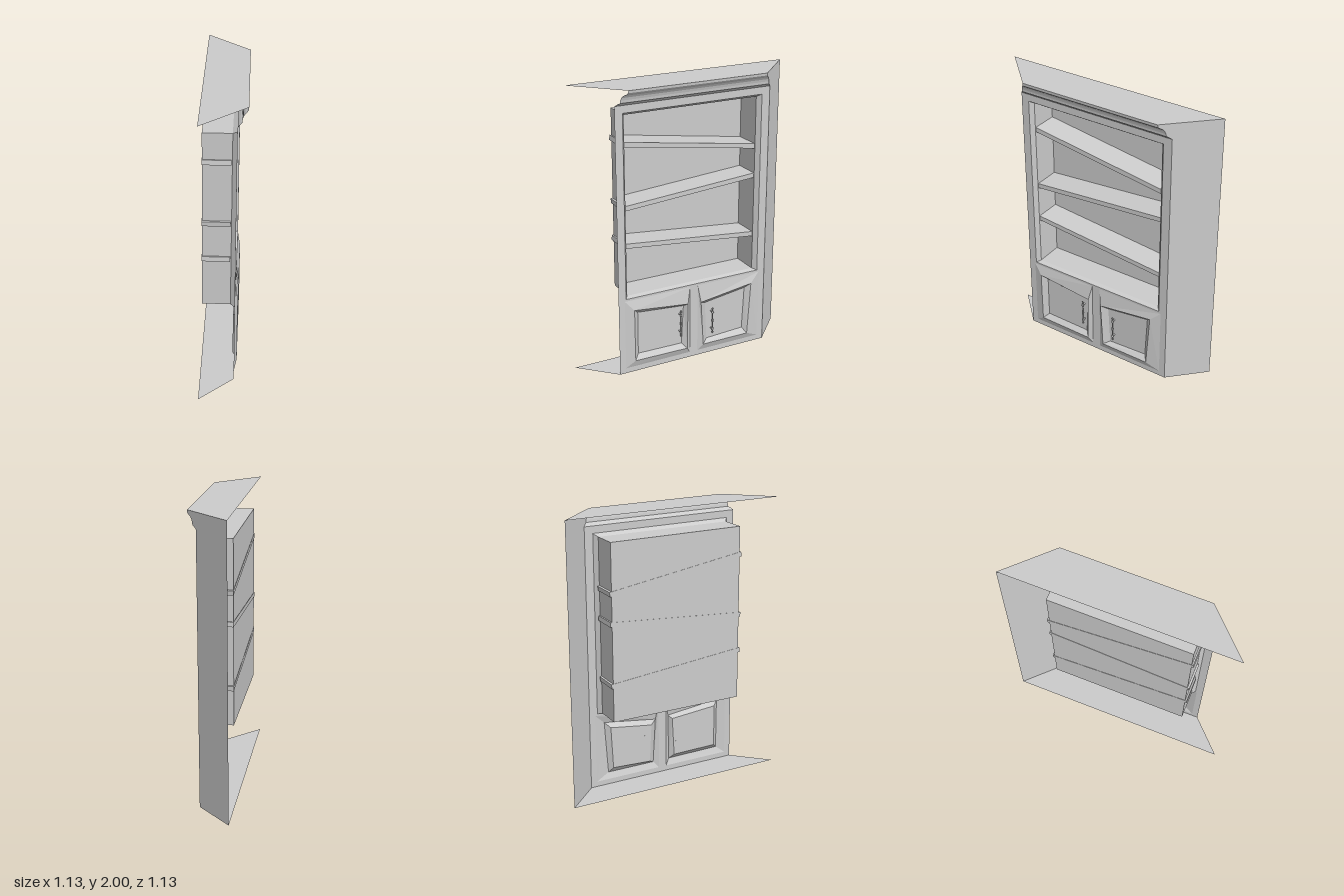
import * as THREE from 'three';

const DEPTH = 0.23;      // front plane of the body
const BACK = 0.8;        // half width of the open back; the sides run in at 45 degrees
const BASE = 0.0075, TOP = 1.9925;

// Slight crooked lean, then the turn that sets the cabinet into its corner
const PLACE = new THREE.Matrix4().makeRotationY(Math.PI * 0.75).multiply(
  new THREE.Matrix4().set(1, 0, 0, 0, -0.009, 1, 0, 0, 0, 0, 1, 0, 0, 0, 0, 1));

const material = new THREE.MeshStandardMaterial({ color: 0xcccccc, side: THREE.DoubleSide });

function add(parent, name, geometry) {
  geometry.applyMatrix4(PLACE);
  const mesh = new THREE.Mesh(geometry, material);
  mesh.name = name;
  parent.add(mesh);
  return mesh;
}

// Flat-faced skin between successive rows of points; closed rows join up,
// and cap fills the last four-cornered row
function loft(rows, closed, cap) {
  const p = [];
  const quad = (a, b, c, d) => [a, b, c, a, c, d].forEach(v => p.push(...v));
  for (let i = 0; i + 1 < rows.length; i++) {
    const n = rows[i].length;
    for (let j = 0; j < (closed ? n : n - 1); j++) {
      const k = (j + 1) % n;
      quad(rows[i][j], rows[i][k], rows[i + 1][k], rows[i + 1][j]);
    }
  }
  if (cap) quad(...rows[rows.length - 1]);
  const g = new THREE.BufferGeometry();
  g.setAttribute('position', new THREE.Float32BufferAttribute(p, 3));
  g.computeVertexNormals();
  return g;
}

const rect = (x0, x1, y0, y1) => [[x0, y0], [x1, y0], [x1, y1], [x0, y1]];
const atZ = (pts, z) => pts.map(([x, y]) => [x, y, z]);
const toVec = pts => pts.map(([x, y]) => new THREE.Vector2(x, y));

export function createModel() {
  const model = new THREE.Group();
  model.name = 'cornerCabinet';

  // Cornice profile: [z, y]
  const profile = [[DEPTH, 1.885], [0.245, 1.9], [0.256, 1.907], [0.258, 1.925],
    [0.263, 1.942], [0.273, 1.957], [0.286, 1.966], [0.294, 1.976], [0.296, TOP]];

  // Front face with openings for the shelf recess and the two door surrounds
  const opening = rect(-0.515, 0.51, 0.56, 1.835);
  const surrounds = [rect(-0.525, -0.03, 0.045, 0.545), rect(0.03, 0.525, 0.045, 0.545)];
  const half = BACK - DEPTH;
  const face = new THREE.Shape(toVec(rect(-half, half, BASE, 1.885)));
  [opening, ...surrounds].forEach(h => face.holes.push(new THREE.Path(toVec(h))));
  add(model, 'frontFace', new THREE.ShapeGeometry(face).translate(0, 0, DEPTH));

  // Cornice
  add(model, 'cornice', loft(profile.map(([z, y]) => [[z - BACK, y, z], [BACK - z, y, z]]), false));

  // Top and bottom plates
  const plate = (z, y) => [[[-BACK, y, 0], [BACK, y, 0]], [[z - BACK, y, z], [BACK - z, y, z]]];
  add(model, 'topPlate', loft(plate(0.296, TOP), false));
  add(model, 'bottomPlate', loft(plate(DEPTH, BASE), false));

  // The one side wall, following the cornice outline
  const wallRows = [[DEPTH, BASE], ...profile].map(([z, y]) => [[BACK, y, 0], [BACK - z, y, z]]);
  add(model, 'sideWall', loft(wallRows, false));

  // Shelf recess: bevelled rim, then a box with a back wall
  const inner = rect(-0.493, 0.485, 0.57, 1.815);
  add(model, 'shelfRecess',
    loft([atZ(opening, DEPTH), atZ(inner, 0.2), atZ(inner, 0.011)], true, true));

  // Crooked shelves: centre height at each end
  [[1.62, 1.468], [1.185, 1.262], [0.925, 0.828]].forEach(([yl, yr]) => {
    const g = new THREE.BoxGeometry(Math.hypot(1.004, yr - yl), 0.033, 0.186);
    g.rotateZ(Math.atan2(yr - yl, 1.004)).translate(-0.004, (yl + yr) / 2, 0.102);
    add(model, 'shelf', g);
  });

  // Doors: raised surround falling back to a sunken, crooked panel
  const doors = [
    { name: 'leftDoor',
      edge: [[-0.46, 0.095], [-0.06, 0.09], [-0.055, 0.43], [-0.463, 0.475]],
      panel: [[-0.425, 0.13], [-0.09, 0.125], [-0.075, 0.41], [-0.425, 0.44]],
      handle: [-0.107, 0.29] },
    { name: 'rightDoor',
      edge: [[0.068, 0.09], [0.427, 0.09], [0.452, 0.476], [0.048, 0.42]],
      panel: [[0.11, 0.115], [0.4, 0.13], [0.415, 0.44], [0.095, 0.395]],
      handle: [0.145, 0.255] },
  ];
  const spindle = toVec([[0.001, -0.1], [0.007, -0.09], [0.003, -0.08], [0.009, -0.065],
    [0.003, -0.05], [0.004, -0.02], [0.007, 0], [0.004, 0.02], [0.003, 0.05],
    [0.009, 0.065], [0.003, 0.08], [0.007, 0.09], [0.001, 0.1]]);
  doors.forEach(({ name, edge, panel, handle: [hx, hy] }, i) => {
    const door = new THREE.Group();
    door.name = name;
    model.add(door);
    add(door, 'doorPanel', loft([atZ(surrounds[i], DEPTH), atZ(edge, DEPTH + 0.018),
      atZ(panel, DEPTH - 0.012)], true, true));
    // Turned handle on two short posts
    add(door, 'handle', new THREE.LatheGeometry(spindle, 8).translate(hx, hy, DEPTH + 0.012));
    [-0.065, 0.065].forEach(dy => add(door, 'handlePost',
      new THREE.CylinderGeometry(0.004, 0.006, 0.026, 8).rotateX(Math.PI / 2)
        .translate(hx, hy + dy, DEPTH - 0.001)));
  });

  return model;
}
